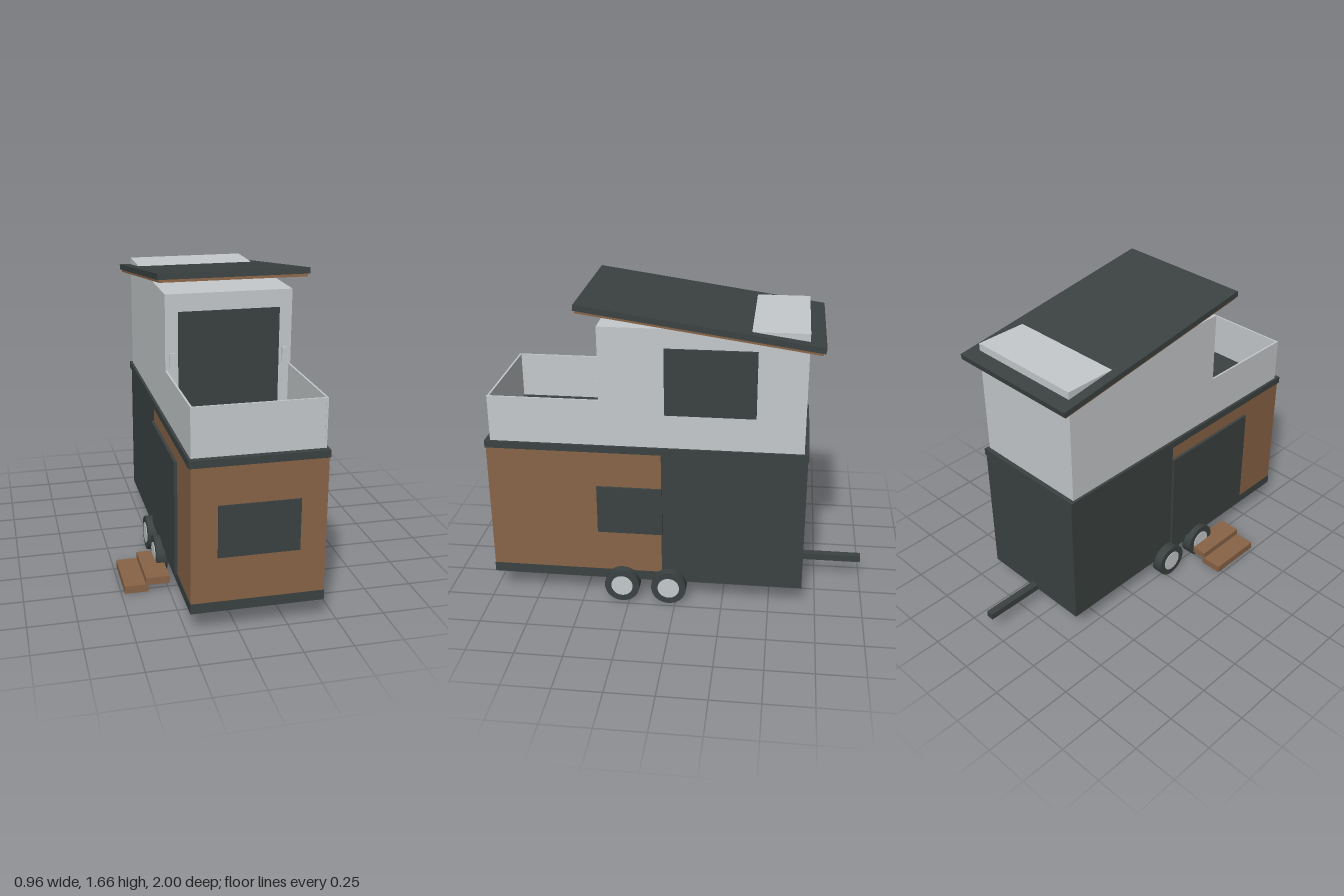
import * as THREE from 'three';

const material = (name, color) => {
  const m = new THREE.MeshStandardMaterial({ color });
  m.name = name;
  return m;
};

export function createModel() {
  const model = new THREE.Group();
  model.name = 'tinyHouseTrailer';
  const dark = material('charcoal', 0x3b4241);
  const wood = material('wood', 0x896447);
  const light = material('paleGrey', 0xc6cacc);

  // Box given by its extents on each axis
  const box = (name, mat, [x0, x1], [y0, y1], [z0, z1], parent = model) => {
    const mesh = new THREE.Mesh(new THREE.BoxGeometry(x1 - x0, y1 - y0, z1 - z0), mat);
    mesh.position.set((x0 + x1) / 2, (y0 + y1) / 2, (z0 + z1) / 2);
    mesh.name = name;
    parent.add(mesh);
    return mesh;
  };

  // Lower storey: wood front half, charcoal rear half, trim bands
  const bodyX = [-0.235, 0.43];
  box('frontBody', wood, bodyX, [0.165, 0.865], [0.075, 0.994]);
  box('rearBody', dark, bodyX, [0.115, 0.865], [-0.675, 0.075]);
  box('baseTrim', dark, [-0.237, 0.432], [0.115, 0.167], [0.07, 0.996]);
  box('beltTrim', dark, [-0.245, 0.435], [0.862, 0.9], [-0.68, 0.999]);

  // Lower windows and side door
  box('frontWindow', dark, [-0.105, 0.3], [0.4, 0.667], [0.99, 1]);
  box('lowerSideWindow', dark, [0.425, 0.442], [0.4, 0.667], [0.07, 0.415]);
  box('sideDoor', dark, [-0.25, -0.23], [0.167, 0.775], [0.073, 0.69]);

  // Upper room
  box('upperRoom', light, [-0.231, 0.422], [0.9, 1.536], [-0.655, 0.39]);
  box('balconyDoor', dark, [-0.165, 0.356], [0.9, 1.446], [0.385, 0.397]);
  box('upperSideWindow', dark, [0.418, 0.437], [1.086, 1.436], [-0.408, 0.055]);
  for (const x of [-0.197, 0.387]) {
    box('wallLamp', light, [x - 0.013, x + 0.013], [1.16, 1.237], [0.385, 0.402]);
  }

  // Balcony parapet
  box('balconyRightWall', light, [-0.231, -0.221], [0.9, 1.147], [0.39, 0.97]);
  box('balconyLeftWall', light, [0.412, 0.422], [0.9, 1.147], [0.39, 0.97]);
  box('balconyFrontWall', light, [-0.221, 0.412], [0.9, 1.147], [0.958, 0.968]);

  // Sloping roof with wood soffit
  const roof = new THREE.Group();
  roof.name = 'roof';
  roof.position.set(0.096, 1.557, -0.121);
  roof.rotation.x = -0.142;
  box('roofSlab', dark, [-0.381, 0.381], [-0.015, 0.015], [-0.617, 0.617], roof);
  box('roofSoffit', wood, [-0.371, 0.371], [-0.029, -0.015], [-0.607, 0.607], roof);
  model.add(roof);

  // Wheels with pale hubs showing on both faces
  const tyreGeo = new THREE.CylinderGeometry(0.094, 0.094, 0.06, 32).rotateZ(Math.PI / 2);
  const hubGeo = new THREE.CylinderGeometry(0.058, 0.058, 0.066, 32).rotateZ(Math.PI / 2);
  for (const x of [-0.255, 0.445]) {
    for (const z of [0.287, 0.035]) {
      const wheel = new THREE.Group();
      wheel.name = 'wheel';
      const tyre = new THREE.Mesh(tyreGeo, dark);
      tyre.name = 'tyre';
      const hub = new THREE.Mesh(hubGeo, light);
      hub.name = 'hub';
      wheel.add(tyre, hub);
      wheel.position.set(x, 0.094, z);
      model.add(wheel);
    }
  }

  // Entry steps and tow bar
  box('lowerStep', wood, [-0.482, -0.358], [0, 0.041], [0.228, 0.532]);
  box('upperStep', wood, [-0.37, -0.245], [0.037, 0.077], [0.228, 0.532]);
  box('towBar', dark, [0.077, 0.117], [0.108, 0.145], [-1, -0.64]);

  return model;
}
